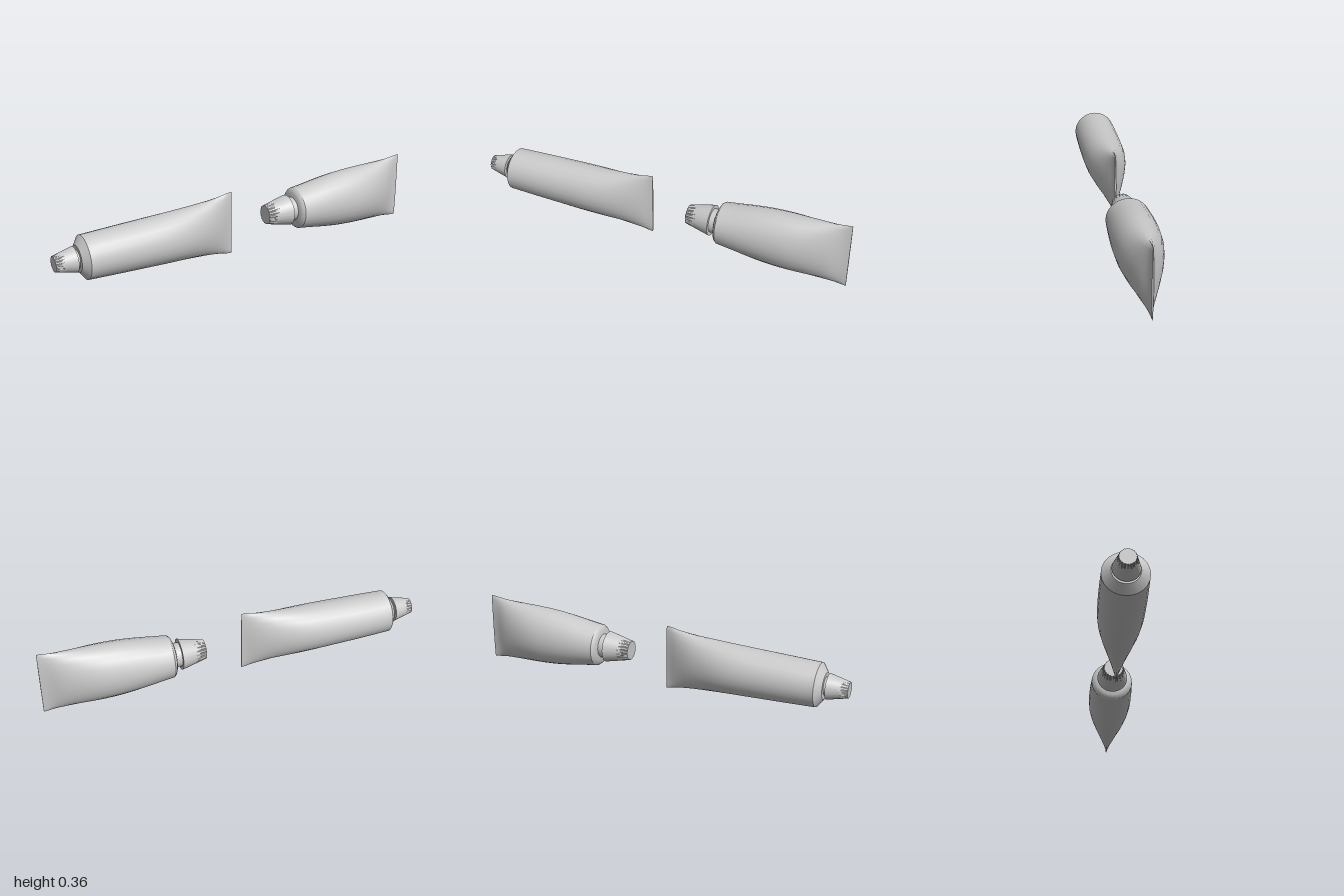
import * as THREE from 'three';
import { toCreasedNormals } from 'three/addons/utils/BufferGeometryUtils.js';

const AXIS_Y = 0.184;
const material = new THREE.MeshStandardMaterial({ color: 0xcccccc, roughness: 0.6 });

// Skin elliptical sections [x, half height, half depth] strung along x.
// shape(angle index, section) scales a point, for grooves.
function loft(name, sections, sides, crease, shape = () => 1) {
  const pos = [], index = [];
  sections.forEach(([x, hy, hz], i) => {
    for (let j = 0; j < sides; j++) {
      const a = (j / sides) * Math.PI * 2, k = shape(j, i);
      pos.push(x, AXIS_Y + hy * k * Math.cos(a), hz * k * Math.sin(a));
    }
  });
  for (let i = 0; i < sections.length - 1; i++) {
    for (let j = 0; j < sides; j++) {
      const n = (j + 1) % sides, a = i * sides, b = a + sides;
      index.push(a + j, a + n, b + j, a + n, b + n, b + j);
    }
  }
  const geometry = new THREE.BufferGeometry();
  geometry.setAttribute('position', new THREE.Float32BufferAttribute(pos, 3));
  geometry.setIndex(index);
  const mesh = new THREE.Mesh(toCreasedNormals(geometry, crease), material);
  mesh.name = name;
  return mesh;
}

const round = (list) => list.map(([x, r]) => [x, r, r]);

// Smooth the body's few sections into many
function smooth(sections, count) {
  const curve = new THREE.CatmullRomCurve3(sections.map((s) => new THREE.Vector3(...s)));
  return curve.getPoints(count).map((p) => [p.x, p.y, Math.max(p.z, 0.003)]);
}

// Tapered cap, with fine grooves that deepen towards the small end
function makeCap(x0, x1, r0, r1) {
  const at = (t) => [x0 + (x1 - x0) * t, r0 + (r1 - r0) * t];
  const depth = [0, 0.07, 0.05, 0, 0, 0];
  const sections = round([[x0, 0], at(0), at(0.25), at(0.45), at(1), [x1, 0]]);
  return loft('cap', sections, 80, 0.5, (j, i) => (j % 4 === 0 ? 1 - depth[i] : 1));
}

function makeTube(name, { cap, neck, shoulder, body }) {
  const tube = new THREE.Group();
  tube.name = name;
  const end = body[body.length - 1];
  tube.add(
    makeCap(...cap),
    loft('neck', round(neck), 32, 0.5),
    loft('shoulder', round(shoulder), 24, 0.6),
    loft('body', smooth(body, 28), 24, 0.9),
    // Flat face closing the crimped end
    loft('crimpedEnd', [end, [end[0], 0, 0]], 24, 0.5),
  );
  return tube;
}

export function createModel() {
  const model = new THREE.Group();
  model.name = 'squeezeTubes';

  model.add(makeTube('longTube', {
    cap: [-1, -0.895, 0.04, 0.065],
    neck: [[-0.9, 0.046], [-0.875, 0.046]],
    shoulder: [[-0.882, 0], [-0.882, 0.068], [-0.851, 0.111]],
    body: [
      [-0.851, 0.111, 0.111], [-0.7, 0.117, 0.114], [-0.55, 0.123, 0.114],
      [-0.42, 0.129, 0.11], [-0.32, 0.135, 0.097], [-0.2, 0.146, 0.066],
      [-0.11, 0.16, 0.032], [-0.07, 0.168, 0.014], [-0.043, 0.171, 0.004],
    ],
  }));

  model.add(makeTube('shortTube', {
    cap: [0.158, 0.29, 0.05, 0.08],
    neck: [[0.285, 0.062], [0.33, 0.062]],
    shoulder: [[0.323, 0], [0.323, 0.084], [0.33, 0.1], [0.341, 0.109]],
    body: [
      [0.341, 0.109, 0.109], [0.4, 0.118, 0.112], [0.5, 0.135, 0.116],
      [0.6, 0.148, 0.116], [0.7, 0.155, 0.109], [0.8, 0.16, 0.087],
      [0.9, 0.167, 0.05], [0.965, 0.175, 0.016], [1, 0.179, 0.004],
    ],
  }));

  return model;
}
